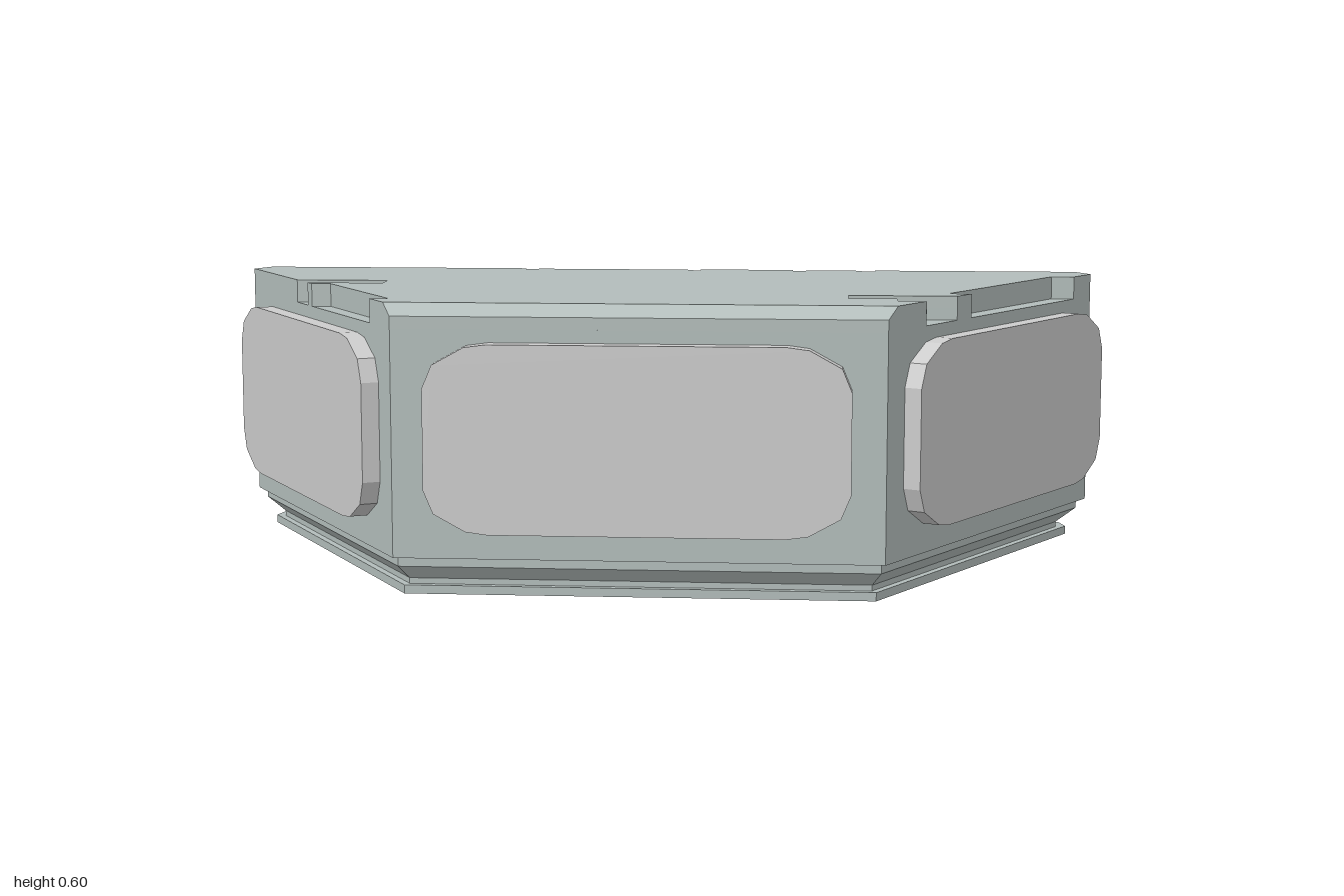
import * as THREE from 'three';

const FRONT = 0.435, BACK = -0.435, SLOPE = 0.58;
const edgeX = (z) => 0.5 + (FRONT - z) * SLOPE; // half width along the slanted sides

// trapezoid with clipped rear corners, inset by d, as [x, z]
function outline(d) {
  const zc = -0.375 + 0.6 * d;
  const half = [
    [edgeX(FRONT - d) - 1.156 * d, FRONT - d],
    [edgeX(zc) - 1.156 * d, zc],
    [0.94 - 0.9 * d, BACK + d],
  ];
  return [...half, ...half.map(([x, z]) => [-x, z]).reverse()];
}

// stacked sections [y, inset] joined by flat faces and closed at both ends
function loft(profile) {
  const rings = profile.map(([y, d]) => outline(d).map(([x, z]) => [x, y, z]));
  const pos = [];
  const tri = (...pts) => pts.forEach((p) => pos.push(...p));
  const n = rings[0].length;
  for (let r = 0; r < rings.length - 1; r++) {
    for (let i = 0; i < n; i++) {
      const j = (i + 1) % n, a = rings[r], b = rings[r + 1];
      tri(a[i], a[j], b[j]);
      tri(a[i], b[j], b[i]);
    }
  }
  const bottom = rings[0], top = rings[rings.length - 1];
  for (let i = 1; i < n - 1; i++) {
    tri(bottom[0], bottom[i + 1], bottom[i]);
    tri(top[0], top[i], top[i + 1]);
  }
  const geo = new THREE.BufferGeometry();
  geo.setAttribute('position', new THREE.Float32BufferAttribute(pos, 3));
  geo.computeVertexNormals();
  return geo;
}

// top slab whose outline is notched along the sides and back
function topSlab() {
  const e = edgeX;
  const right = [
    [0.5, FRONT],
    [e(0.3), 0.3], [0.52, 0.3], [0.52, 0.25], [0.42, 0.25], [0.42, 0.185], [e(0.185), 0.185],
    [e(0.13), 0.13], [e(0.13) - 0.05, 0.13], [e(-0.3) - 0.05, -0.3], [e(-0.3), -0.3],
    [e(-0.375), -0.375], [0.94, BACK],
  ];
  // shallow recesses with a deeper slot at each end
  const back = [];
  for (const [a, b] of [[0.48, 0.29], [0.075, -0.335]]) {
    const deep = BACK + 0.024, mid = BACK + 0.008;
    back.push([a, BACK], [a, deep], [a - 0.03, deep], [a - 0.03, mid],
      [b + 0.03, mid], [b + 0.03, deep], [b, deep], [b, BACK]);
  }
  const left = [
    [-0.94, BACK], [-e(-0.375), -0.375],
    [-e(-0.09), -0.09], [-0.6, -0.09], [-0.6, -0.025], [-e(-0.025), -0.025],
    [-e(0), 0], [-e(0) + 0.042, 0], [-e(0.33) + 0.042, 0.33], [-e(0.33), 0.33],
    [-0.5, FRONT],
  ];
  const shape = new THREE.Shape([...right, ...back, ...left].map(([x, z]) => new THREE.Vector2(x, -z)));
  const geo = new THREE.ExtrudeGeometry(shape, { depth: 0.05, steps: 2, bevelEnabled: false });
  geo.rotateX(-Math.PI / 2).translate(0, 0.55, 0);
  // slope the upper front edge back
  const p = geo.attributes.position;
  for (let i = 0; i < p.count; i++) {
    if (p.getY(i) > 0.59 && p.getZ(i) > 0.43) {
      p.setXYZ(i, Math.sign(p.getX(i)) * e(0.402), 0.6, 0.402);
    }
  }
  geo.computeVertexNormals();
  return geo;
}

// raised plate with faceted corners
function plate(width) {
  const w = width / 2, h = 0.193;
  const corner = [[w, h - 0.09], [w - 0.02, h - 0.042], [w - 0.085, h - 0.006], [w - 0.13, h]];
  const flip = (sx, sy) => corner.map(([x, y]) => new THREE.Vector2(sx * x, sy * y));
  const pts = [...flip(1, 1), ...flip(-1, 1).reverse(), ...flip(-1, -1), ...flip(1, -1).reverse()];
  return new THREE.ExtrudeGeometry(new THREE.Shape(pts), { depth: 0.038, bevelEnabled: false });
}

export function createModel() {
  const model = new THREE.Group();
  const stone = new THREE.MeshStandardMaterial({ color: 0xb2bcba, flatShading: true });
  const grey = new THREE.MeshStandardMaterial({ color: 0xcccccc, flatShading: true });
  const add = (name, geo, mat, x = 0, y = 0, z = 0, turn = 0) => {
    const mesh = new THREE.Mesh(geo, mat);
    mesh.name = name;
    mesh.position.set(x, y, z);
    mesh.rotation.y = turn;
    model.add(mesh);
  };

  // body with stepped plinth
  add('body', loft([[0, 0.03], [0.018, 0.03], [0.018, 0.045], [0.03, 0.045],
    [0.06, 0.014], [0.078, 0.014], [0.08, 0], [0.55, 0]]), stone);
  add('notchedTop', topSlab(), stone);
  add('notchBlock', new THREE.BoxGeometry(0.13, 0.04, 0.035), stone, 0.515, 0.568, 0.2325);

  // raised plates on all four sides
  add('frontPlate', plate(0.86), grey, 0, 0.33, FRONT);
  add('backPlate', plate(1.11), grey, 0.125, 0.33, BACK, Math.PI);
  for (const s of [1, -1]) {
    add(s > 0 ? 'leftPlate' : 'rightPlate', plate(0.86), grey, s * edgeX(0.004), 0.33, 0.004, s * Math.PI / 3);
  }
  return model;
}
